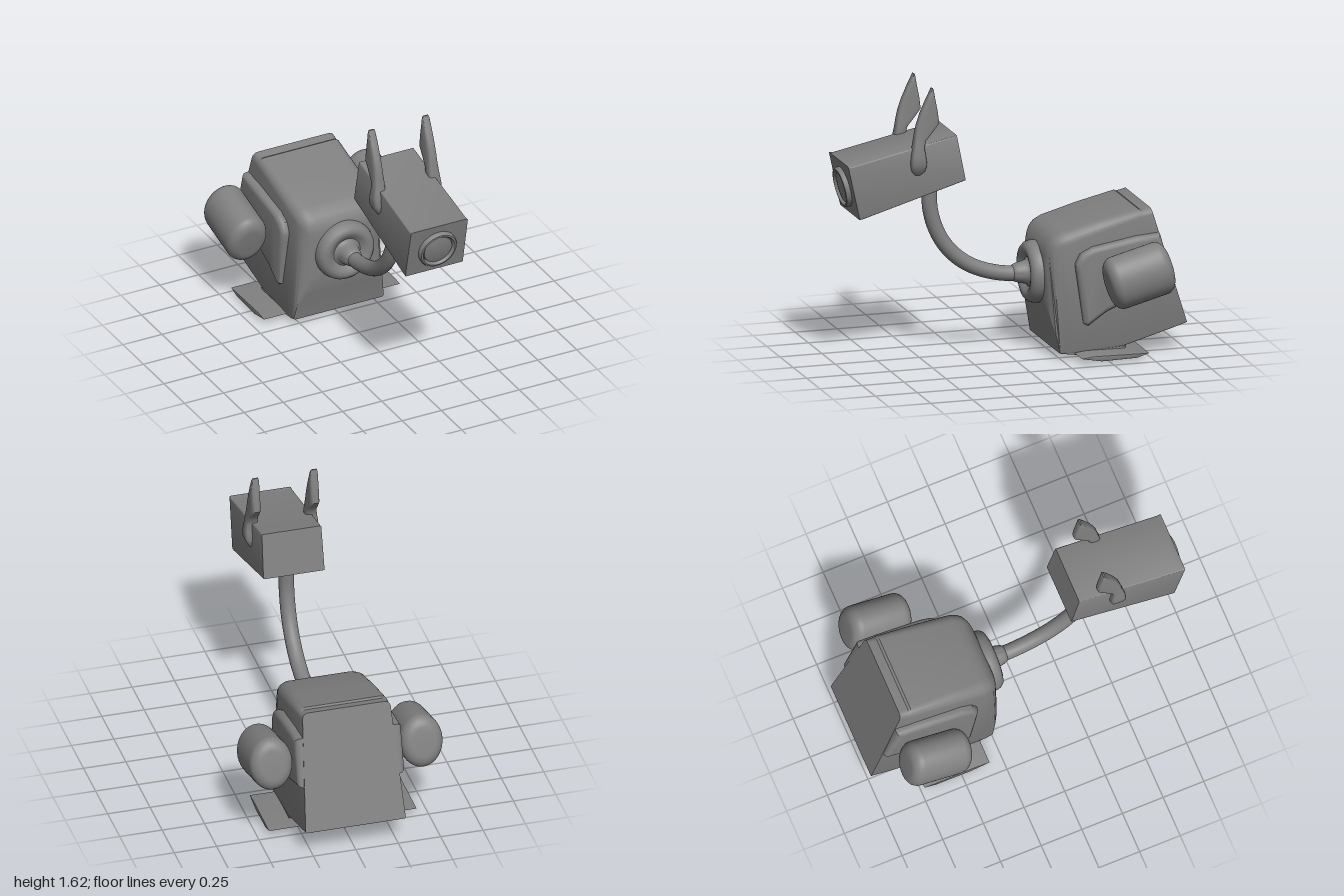
import * as THREE from 'three';
import { toCreasedNormals } from 'three/addons/utils/BufferGeometryUtils.js';

const material = new THREE.MeshStandardMaterial({ color: 0x808080 });

// Skins a list of closed rings (counter-clockwise seen from the last ring) and caps both ends.
function loft(rings, crease = 0.55) {
  const n = rings[0].length, pos = [], index = [];
  const centre = (ring) => ring.reduce((s, p) => s.map((v, k) => v + p[k] / n), [0, 0, 0]);
  rings.forEach((ring) => ring.forEach((p) => pos.push(...p)));
  const first = rings.length * n, last = first + 1, top = (rings.length - 1) * n;
  pos.push(...centre(rings[0]), ...centre(rings[rings.length - 1]));
  for (let j = 0; j < n; j++) {
    const k = (j + 1) % n;
    for (let i = 0; i < top; i += n) {
      index.push(i + j, i + k, i + n + k, i + j, i + n + k, i + n + j);
    }
    index.push(first, k, j, last, top + j, top + k);
  }
  const geo = new THREE.BufferGeometry();
  geo.setAttribute('position', new THREE.Float32BufferAttribute(pos, 3));
  geo.setIndex(index);
  return toCreasedNormals(geo, crease);
}

// Rounded trapezoid standing on [zb, yb] and reaching up to [zt, yt].
function section([zb, yb], [zt, yt], wb, wt, rb, rt) {
  const height = Math.hypot(zt - zb, yt - yb), ring = [], steps = 6;
  const corners = [[1, 0, wb, rb, -1], [1, 1, wt, rt, 0], [-1, 1, wt, rt, 1], [-1, 0, wb, rb, 2]];
  for (const [side, up, w, r, quarter] of corners) {
    for (let i = 0; i <= steps; i++) {
      const a = (quarter + i / steps) * Math.PI / 2;
      const x = side * (w - r) + r * Math.cos(a);
      const t = ((up ? height - r : r) + r * Math.sin(a)) / height;
      ring.push([x, yb + (yt - yb) * t, zb + (zt - zb) * t]);
    }
  }
  return ring;
}

// Extrudes a [z, y] outline along x, centred on x = 0, with a bevelled rim inside the outline.
function extrudeX(points, width, bevel) {
  const shape = new THREE.Shape(points.map((p) => new THREE.Vector2(...p)));
  const geo = new THREE.ExtrudeGeometry(shape, {
    depth: width - 2 * bevel, bevelThickness: bevel, bevelSize: bevel, bevelOffset: -bevel, bevelSegments: 4,
  });
  geo.translate(0, 0, bevel - width / 2).rotateY(-Math.PI / 2);
  return toCreasedNormals(geo, 0.6);
}

// Turned part whose axis runs along z; profile is [radius, z].
function latheZ(profile, crease = 0.6) {
  const geo = new THREE.LatheGeometry(profile.map((p) => new THREE.Vector2(...p)), 40);
  return toCreasedNormals(geo.rotateX(Math.PI / 2), crease);
}

// One ear, grown upward from the pad on the side of the head.
function ear(side) {
  const rows = [ // y, back z, front z, x, half thickness
    [1.115, 0.55, 0.58, 0.172, 0.008], [1.14, 0.525, 0.602, 0.177, 0.022], [1.18, 0.515, 0.61, 0.18, 0.037],
    [1.23, 0.522, 0.606, 0.179, 0.038], [1.28, 0.53, 0.596, 0.175, 0.035], [1.32, 0.52, 0.589, 0.173, 0.033],
    [1.365, 0.48, 0.583, 0.173, 0.03], [1.415, 0.44, 0.572, 0.173, 0.029], [1.48, 0.448, 0.55, 0.173, 0.027],
    [1.55, 0.462, 0.518, 0.173, 0.025], [1.605, 0.472, 0.49, 0.173, 0.022], [1.62, 0.476, 0.484, 0.173, 0.017],
  ];
  const soft = (v) => Math.sign(v) * Math.abs(v) ** 0.5;
  return loft(rows.map(([y, z0, z1, x, h]) => Array.from({ length: 24 }, (_, i) => {
    const a = i / 24 * Math.PI * 2;
    return [side * x + h * soft(Math.cos(a)), y, (z0 + z1) / 2 - (z1 - z0) / 2 * soft(Math.sin(a))];
  })), 0.7);
}

export function createModel() {
  const model = new THREE.Group();
  const add = (name, geometry) => {
    const mesh = new THREE.Mesh(geometry, material);
    mesh.name = name;
    model.add(mesh);
    return mesh;
  };

  // Body shell, from the slanted back with its shallow rim groove to the rounded front
  add('body', loft([
    section([-1.0, 0.16], [-0.8, 0.835], 0.295, 0.26, 0.008, 0.035),
    section([-0.94, 0.142], [-0.745, 0.823], 0.295, 0.262, 0.008, 0.04),
    section([-0.925, 0.137], [-0.73, 0.83], 0.295, 0.264, 0.008, 0.045),
    section([-0.62, 0.05], [-0.5, 0.78], 0.295, 0.265, 0.01, 0.06),
    section([-0.33, 0.03], [-0.29, 0.725], 0.293, 0.262, 0.01, 0.07),
    section([-0.27, 0.028], [-0.245, 0.705], 0.29, 0.252, 0.01, 0.07),
    section([-0.248, 0.032], [-0.218, 0.682], 0.287, 0.236, 0.012, 0.065),
    section([-0.228, 0.13], [-0.2, 0.65], 0.272, 0.216, 0.015, 0.06),
    section([-0.208, 0.2], [-0.19, 0.625], 0.245, 0.195, 0.025, 0.055),
    section([-0.195, 0.255], [-0.185, 0.6], 0.215, 0.175, 0.04, 0.05),
  ]));

  // Bottom plate and its thicker keel
  add('basePlate', extrudeX([[-0.73, 0.036], [-0.66, 0.014], [-0.45, 0.009], [-0.33, 0.032], [-0.4, 0.041]], 0.87, 0.003));
  add('keel', extrudeX([[-0.64, 0.05], [-0.62, 0.01], [-0.55, 0], [-0.45, 0.004], [-0.27, 0.03], [-0.3, 0.06]], 0.58, 0.003));

  // Raised side panels, each with a rounded pod
  const panel = [[-0.41, 0.185], [-0.52, 0.26], [-0.7, 0.34], [-0.92, 0.415], [-0.84, 0.695], [-0.7, 0.685],
    [-0.44, 0.64], [-0.37, 0.605], [-0.34, 0.55], [-0.345, 0.5], [-0.385, 0.2]];
  const podProfile = [[0, -0.188]];
  for (let i = 0; i <= 8; i++) {
    const a = i / 8 * Math.PI / 2;
    podProfile.push([0.065 + 0.06 * Math.sin(a), -0.128 - 0.06 * Math.cos(a)]);
  }
  podProfile.push(...podProfile.map(([r, z]) => [r, -z]).reverse());
  for (const side of [1, -1]) {
    const label = side > 0 ? 'left' : 'right';
    add(label + 'Panel', extrudeX(panel, 0.115, 0.03)).position.x = side * 0.2575;
    const pod = add(label + 'Pod', latheZ(podProfile));
    pod.position.set(side * 0.443, 0.498, -0.666);
    pod.rotation.x = 0.26;
    pod.scale.y = 1.25;
    add(label + 'Ear', ear(side));
  }

  // Round collar with the cuff that flares into the neck
  add('neckCollar', latheZ([[0, -0.23], [0.18, -0.23], [0.18, -0.17], [0.173, -0.145], [0.157, -0.127], [0.135, -0.12],
    [0.115, -0.125], [0.098, -0.138], [0.085, -0.146], [0.073, -0.14], [0.066, -0.12], [0.06, -0.095], [0.054, -0.07],
    [0.047, -0.055], [0.04, -0.05]], 0.9)).position.y = 0.452;

  // Curved neck
  const neckPath = new THREE.CatmullRomCurve3([[-0.17, 0.452], [0, 0.455], [0.18, 0.51], [0.3, 0.595], [0.385, 0.71],
    [0.435, 0.86], [0.44, 1.0], [0.44, 1.1]].map(([z, y]) => new THREE.Vector3(0, y, z)));
  add('neck', new THREE.TubeGeometry(neckPath, 48, 0.044, 24));

  // Boxy head
  add('head', loft([
    section([0.28, 1.065], [0.332, 1.332], 0.18, 0.175, 0.006, 0.008),
    section([0.89, 0.886], [0.955, 1.197], 0.184, 0.181, 0.006, 0.008),
    section([0.912, 0.882], [0.98, 1.198], 0.184, 0.182, 0.006, 0.01),
  ]));

  // Lens ring and lens on the face
  const lens = add('lens', latheZ([[0, -0.04], [0.118, -0.04], [0.118, 0.018], [0.112, 0.028], [0.102, 0.03],
    [0.094, 0.022], [0.091, 0.008], [0.088, 0.016], [0.06, 0.022], [0, 0.026]]));
  lens.position.set(0, 1.038, 0.946);
  lens.rotation.x = 0.21;

  return model;
}
